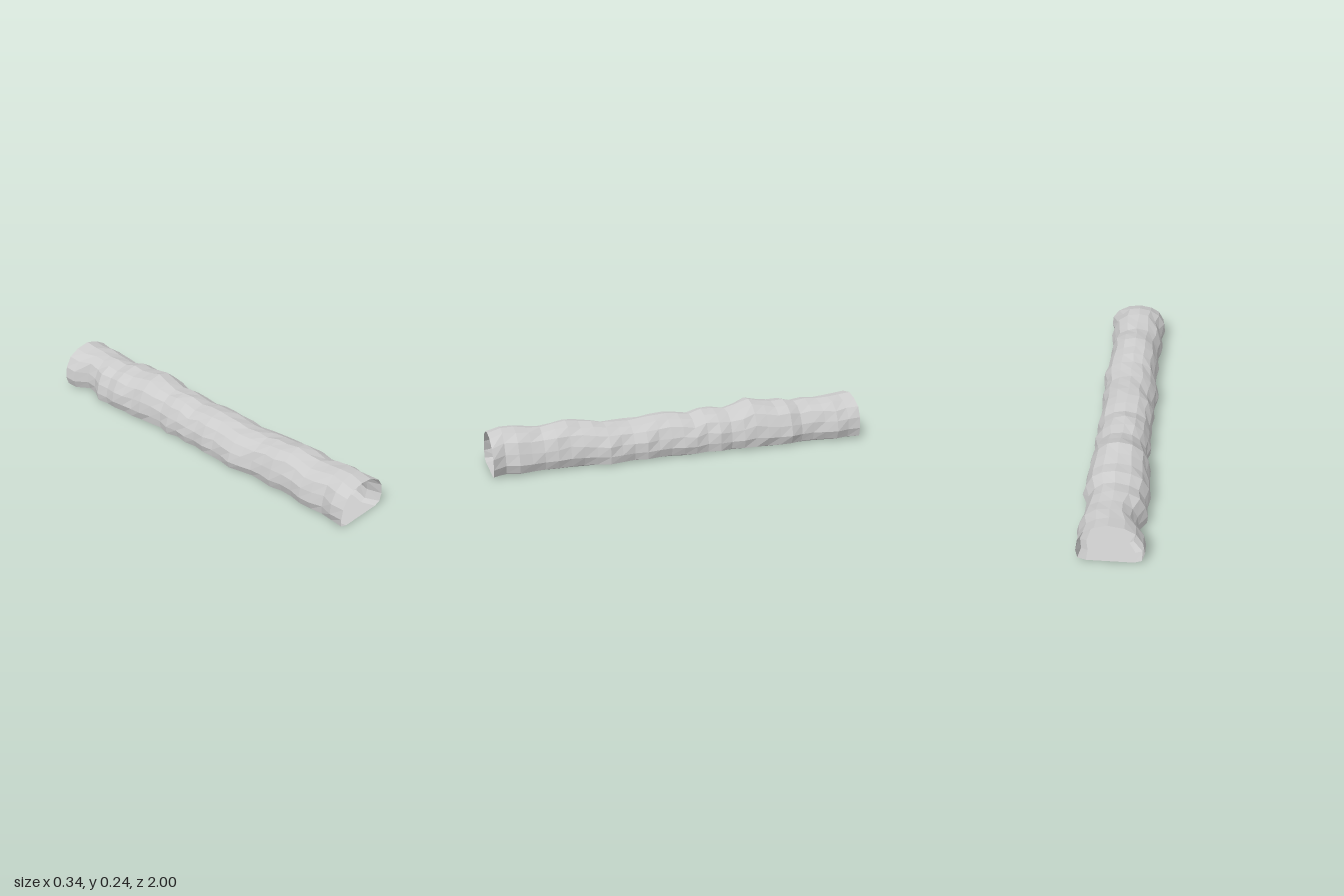
import * as THREE from 'three';

// Half-widths and crown height of each ring, from back (z = -1) to front (z = 1)
const LEFT = [.155, .15, .163, .15, .137, .138, .166, .158, .16, .152, .155, .137, .15, .138, .15, .15,
  .138, .142, .15, .138, .15, .16, .15, .142, .142, .146, .138, .15, .16, .14, .168];
const RIGHT = [.17, .17, .12, .125, .165, .157, .17, .16, .156, .156, .135, .125, .145, .136, .14, .136,
  .145, .136, .14, .155, .145, .13, .13, .14, .13, .13, .145, .145, .13, .15, .145];
const CROWN = [.22, .212, .207, .203, .208, .2, .218, .213, .223, .24, .218, .198, .204, .208, .188, .198,
  .203, .198, .193, .184, .188, .188, .203, .208, .218, .208, .198, .203, .213, .213, .193];

// Half profile from floor edge to crown: x as share of half-width, y as share of crown height
const HALF = [[.72, 0], [.93, .06], [1, .27], [.93, .53], [.74, .78], [.42, .94]];

function seeded(seed) {
  return () => {
    seed = (seed * 16807) % 2147483647;
    return seed / 2147483647 * 2 - 1;
  };
}

// Joins open rings of points into a strip of quads
function skin(rings) {
  const n = rings[0].length;
  const index = [];
  for (let i = 0; i < rings.length - 1; i++) {
    for (let j = 0; j < n - 1; j++) {
      const a = i * n + j, b = a + 1, c = a + n, d = c + 1;
      index.push(a, b, c, b, d, c);
    }
  }
  const geometry = new THREE.BufferGeometry();
  geometry.setAttribute('position', new THREE.Float32BufferAttribute(rings.flat(2), 3));
  geometry.setIndex(index);
  geometry.computeVertexNormals();
  return geometry;
}

export function createModel() {
  const group = new THREE.Group();
  group.name = 'rockTunnel';
  const material = new THREE.MeshStandardMaterial({
    color: 0xcccccc, flatShading: true, side: THREE.DoubleSide,
  });
  const noise = seeded(4711);

  // Uneven arched cross-sections, running from +x over the crown to -x
  const rings = CROWN.map((h, i) => {
    const z = -1 + 2 * i / (CROWN.length - 1);
    const side = (width, sign) => HALF.map(([px, py], k) => {
      const rough = k === 2 ? 1 : 1 + .05 * noise();
      const lift = k > 2 ? 1 + .03 * noise() : 1;
      return [sign * width * px * rough, h * py * lift, z];
    });
    const left = side(LEFT[i], 1);
    const right = side(RIGHT[i], -1).reverse();
    return [...left, [.006 * noise(), h, z], ...right];
  });

  const vault = new THREE.Mesh(skin(rings), material);
  vault.name = 'vault';
  group.add(vault);

  // Flat floor between the two lower edges
  const floor = new THREE.Mesh(skin(rings.map((r) => [r[r.length - 1], r[0]])), material);
  floor.name = 'floor';
  group.add(floor);

  return group;
}
